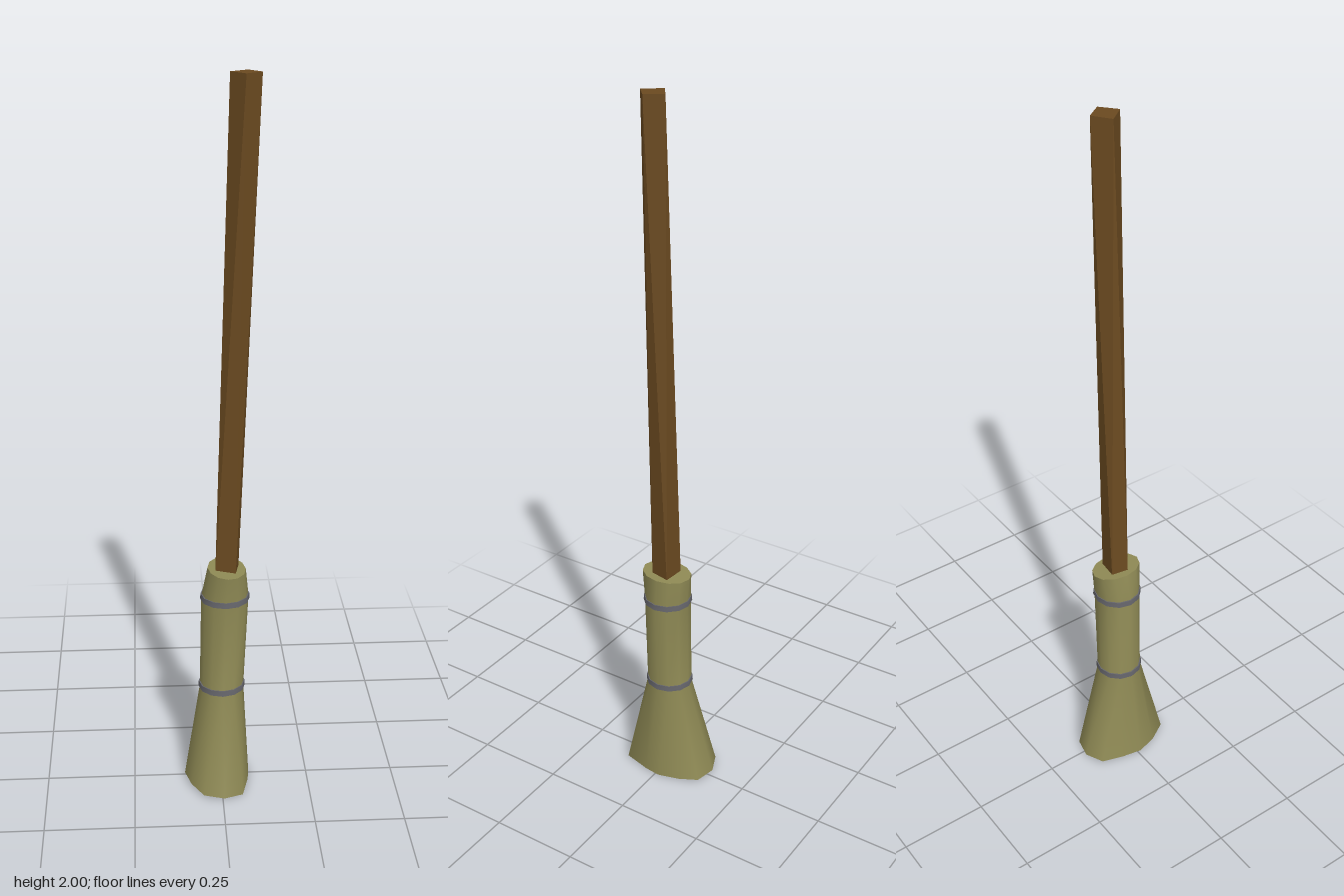
import * as THREE from 'three';
import { toCreasedNormals } from 'three/addons/utils/BufferGeometryUtils.js';

const straw = new THREE.MeshStandardMaterial({ color: 0x8f8a55 });
straw.name = 'straw';
const wood = new THREE.MeshStandardMaterial({ color: 0x6b4a20 });
wood.name = 'wood';
const twine = new THREE.MeshStandardMaterial({ color: 0x66666c });
twine.name = 'twine';

// Closed skin through rings of [x, y, z] points; rings run left, front, right, back
function loft(rings, crease) {
  const n = rings[0].length;
  const pos = rings.flat(2);
  const index = [];
  for (let r = 0; r < rings.length - 1; r++) {
    for (let i = 0; i < n; i++) {
      const j = (i + 1) % n;
      const a = r * n + i, b = r * n + j;
      index.push(a, b, b + n, a, b + n, a + n);
    }
  }
  const top = (rings.length - 1) * n;
  for (let i = 1; i < n - 1; i++) {
    index.push(0, i + 1, i);
    index.push(top, top + i, top + i + 1);
  }
  const g = new THREE.BufferGeometry();
  g.setAttribute('position', new THREE.Float32BufferAttribute(pos, 3));
  g.setIndex(index);
  return toCreasedNormals(g, crease);
}

// Twelve-sided oval ring
function oval(cx, y, rx, rz, tilt = 0) {
  return Array.from({ length: 12 }, (_, i) => {
    const a = (i / 12) * Math.PI * 2;
    return [cx - Math.cos(a) * rx, y + Math.cos(a) * tilt, Math.sin(a) * rz];
  });
}

export function createModel() {
  const model = new THREE.Group();
  model.name = 'broom';
  const add = (name, geometry, material) => {
    const mesh = new THREE.Mesh(geometry, material);
    mesh.name = name;
    model.add(mesh);
  };

  // Flared, uneven foot of the brush, with a slightly slanted cut
  const foot = [
    [-0.104, 0.005], [-0.087, 0.064], [-0.053, 0.12], [0.004, 0.134],
    [0.058, 0.112], [0.077, 0.035], [0.082, -0.01], [0.066, -0.07],
    [0.04, -0.123], [-0.018, -0.137], [-0.072, -0.114], [-0.092, -0.055],
  ].map(([x, z]) => [x, 0.01 * (0.082 - x) / 0.186, z]);

  add('brush', loft([
    foot,
    oval(0.003, 0.3, 0.062, 0.063),
    oval(0.012, 0.582, 0.066, 0.064),
    oval(0.017, 0.666, 0.053, 0.073, 0.003),
  ], 0.95), straw);

  // Twine bindings
  for (const [name, cx, y, rx, rz] of [
    ['lowerBinding', 0.003, 0.305, 0.066, 0.067],
    ['upperBinding', 0.012, 0.582, 0.069, 0.068],
  ]) {
    add(name, loft([
      oval(cx, y - 0.008, rx, rz),
      oval(cx, y + 0.008, rx - 0.001, rz - 0.001),
    ], 0.8), twine);
  }

  // Square, slightly twisted and leaning handle
  add('handle', loft([
    [[-0.016, 0.64, 0.018], [0.039, 0.64, 0.033], [0.05, 0.64, -0.022], [-0.008, 0.64, -0.03]],
    [[0.023, 2, 0], [0.06, 2, 0.045], [0.102, 2, 0.01], [0.07, 2, -0.033]],
  ], 0.1), wood);

  return model;
}
